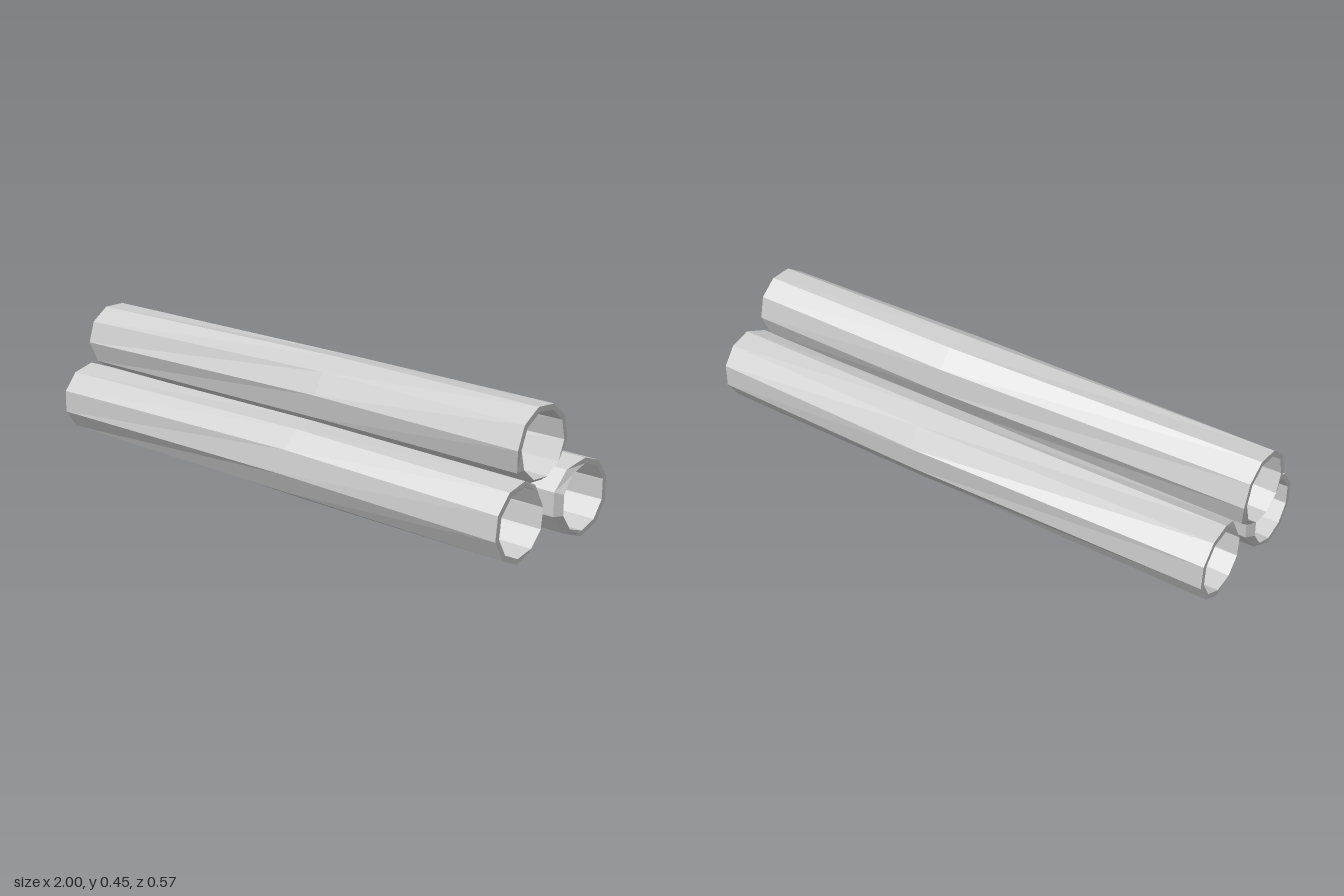
import * as THREE from 'three';

const SIDES = 10;
const rad = THREE.MathUtils.degToRad;

// Hollow ten-sided pipe along x, slightly twisted and swollen in the middle.
// start: angle of the first corner (from +z towards +y)
// inward: angle towards the middle of the stack, where the rim is worn back
function pipe(name, { z, y, x0, x1, start, inward }) {
  const mid = 0.15;
  // [x, radius, twist in degrees, wear of the rim]
  const stations = [
    [x0, 0.126, -5, 0.025], [mid, 0.13, 4, 0], [x1, 0.126, 0, -0.025],  // outside
    [x1, 0.108, 0, 0], [mid, 0.11, 4, 0], [x0, 0.108, -5, 0],           // inside
  ];
  const positions = [], index = [];
  stations.forEach(([x, r, twist, wear], s) => {
    const next = (s + 1) % stations.length;
    for (let i = 0; i < SIDES; i++) {
      const a = rad(start + twist + (i * 360) / SIDES);
      const worn = wear * Math.max(0, Math.cos(a - rad(inward)));
      positions.push(x + worn, y + r * Math.sin(a), z + r * Math.cos(a));
      const j = (i + 1) % SIDES;
      const A = s * SIDES + i, B = next * SIDES + i;
      const C = next * SIDES + j, D = s * SIDES + j;
      index.push(A, B, C, A, C, D);
    }
  });
  const geometry = new THREE.BufferGeometry();
  geometry.setAttribute('position', new THREE.Float32BufferAttribute(positions, 3));
  geometry.setIndex(index);
  const flat = geometry.toNonIndexed();
  flat.computeVertexNormals();
  const mesh = new THREE.Mesh(flat, new THREE.MeshStandardMaterial({ color: 0xcccccc, flatShading: true }));
  mesh.name = name;
  return mesh;
}

export function createModel() {
  const group = new THREE.Group();
  group.name = 'pipeStack';
  group.add(
    pipe('frontPipe', { z: 0.157, y: 0.133, x0: -0.96, x1: 1, start: -11.5, inward: 180 }),
    pipe('backPipe', { z: -0.157, y: 0.133, x0: -0.96, x1: 1, start: 18, inward: 0 }),
    // The top pipe lies in the groove, shifted a little along the stack
    pipe('topPipe', { z: 0, y: 0.326, x0: -1, x1: 0.955, start: 4, inward: 270 }),
  );
  return group;
}
